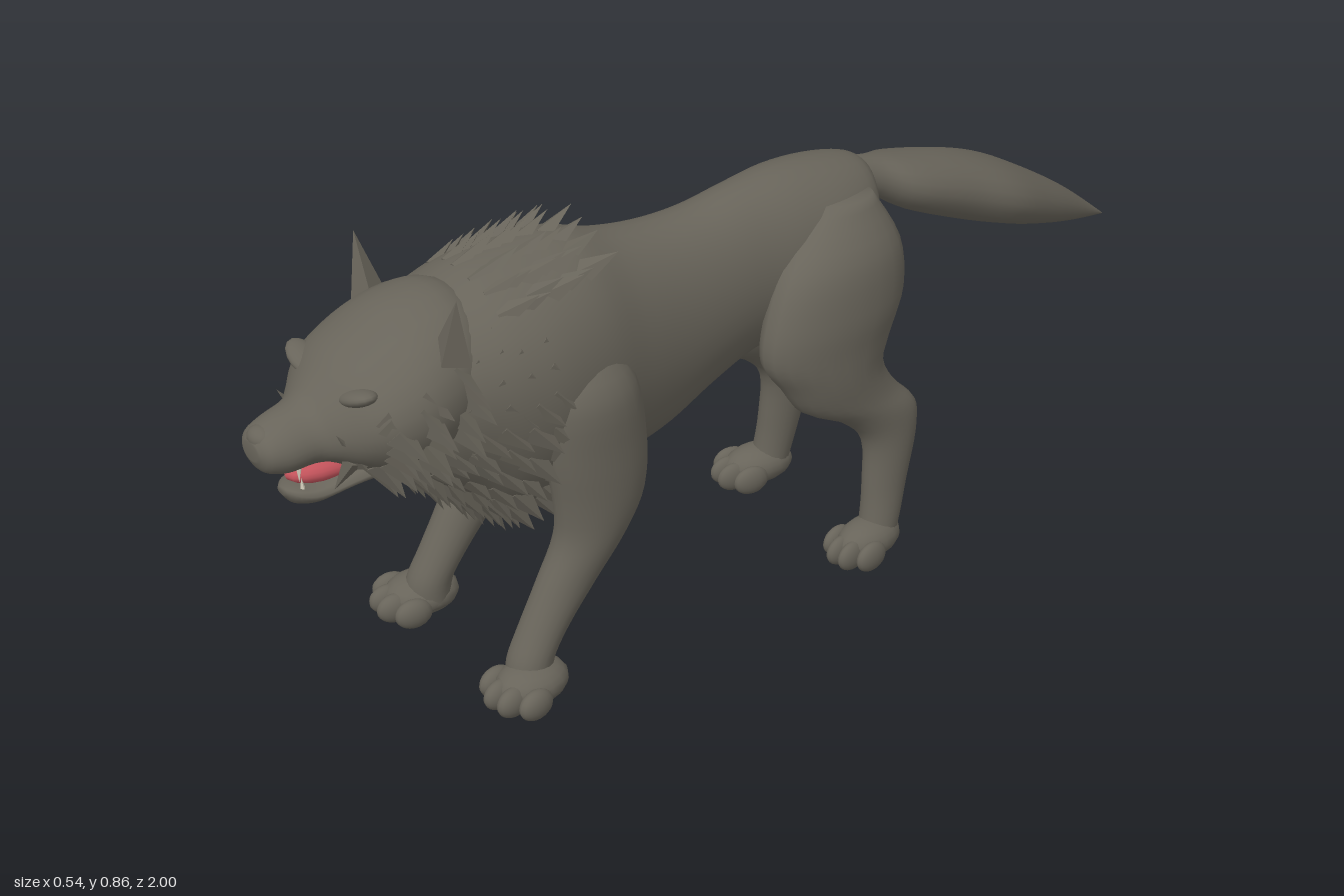
import * as THREE from 'three';
import { mergeGeometries } from 'three/addons/utils/BufferGeometryUtils.js';

const V = (x, y, z) => new THREE.Vector3(x, y, z);
const fur = new THREE.MeshStandardMaterial({ color: 0x68645a });
fur.name = 'grey fur';
const red = new THREE.MeshStandardMaterial({ color: 0xc4545c });
red.name = 'mouth red';
const ivory = new THREE.MeshStandardMaterial({ color: 0xd8d2c0 });
ivory.name = 'tooth ivory';

// Smooth interpolation between cross-section rows
function sample(rows, t) {
  const f = t * (rows.length - 1), i = Math.min(Math.floor(f), rows.length - 2), u = f - i;
  const at = (k) => rows[Math.max(0, Math.min(rows.length - 1, k))];
  return rows[i].map((b, k) => {
    const a = at(i - 1)[k], c = at(i + 1)[k], d = at(i + 2)[k];
    return b + 0.5 * u * (c - a + u * (2 * a - 5 * b + 4 * c - d + u * (3 * (b - c) + d - a)));
  });
}
// Upright section: [z, top, bottom, half width, narrowing towards the belly]
const upright = (r, a) => V(Math.cos(a) * r[3] * (1 + r[4] * Math.sin(a)),
  (r[1] + r[2]) / 2 + Math.sin(a) * (r[1] - r[2]) / 2, r[0]);
// Level section for limbs: [y, x, z, x radius, z radius]
const level = (side) => (r, a) => V(side * (r[1] + Math.cos(a) * r[3]), r[0], r[2] + Math.sin(a) * r[4]);

// Closed skin through the cross-sections
function loft(rows, section, around = 24, steps = 4) {
  const pos = [], idx = [], n = (rows.length - 1) * steps;
  for (let i = 0; i <= n; i++) {
    const r = sample(rows, i / n);
    for (let j = 0; j < around; j++) pos.push(...section(r, (j / around) * Math.PI * 2).toArray());
  }
  for (let i = 0; i < n; i++) for (let j = 0; j < around; j++) {
    const a = i * around + j, b = i * around + (j + 1) % around;
    idx.push(a, b, b + around, a, b + around, a + around);
  }
  for (const end of [0, n]) {
    const mid = V(0, 0, 0), c = pos.length / 3;
    for (let j = 0; j < around; j++) mid.add(V(...pos.slice((end * around + j) * 3, (end * around + j) * 3 + 3)));
    pos.push(...mid.divideScalar(around).toArray());
    for (let j = 0; j < around; j++) {
      const a = end * around + j, b = end * around + (j + 1) % around;
      idx.push(...(end ? [a, b, c] : [b, a, c]));
    }
  }
  // Turn the faces outward if the signed volume is negative
  let vol = 0;
  const p = (k) => V(pos[k * 3], pos[k * 3 + 1], pos[k * 3 + 2]);
  for (let k = 0; k < idx.length; k += 3) vol += p(idx[k]).dot(p(idx[k + 1]).cross(p(idx[k + 2])));
  if (vol < 0) idx.reverse();
  const g = new THREE.BufferGeometry();
  g.setAttribute('position', new THREE.Float32BufferAttribute(pos, 3));
  g.setIndex(idx);
  g.computeVertexNormals();
  return g;
}

// Flattened spike from base to tip, thin along the given normal
function spike(base, tip, width, thick, normal) {
  const y = tip.clone().sub(base), len = y.length();
  y.normalize();
  const x = y.clone().cross(normal).normalize(), z = x.clone().cross(y);
  const g = new THREE.ConeGeometry(1, 1, 4).toNonIndexed();
  g.translate(0, 0.5, 0).scale(width, len, thick);
  g.applyMatrix4(new THREE.Matrix4().makeBasis(x, y, z).setPosition(base));
  g.computeVertexNormals();
  return g;
}
function ball(x, y, z, rx, ry, rz) {
  return new THREE.SphereGeometry(1, 16, 12).scale(rx, ry, rz).translate(x, y, z);
}

const torso = [
  [-0.36, 0.76, 0.70, 0.03, 0], [-0.33, 0.785, 0.60, 0.09, 0], [-0.25, 0.803, 0.50, 0.125, 0],
  [-0.15, 0.81, 0.47, 0.125, 0], [-0.05, 0.80, 0.45, 0.115, 0], [0.05, 0.785, 0.41, 0.12, 0],
  [0.15, 0.785, 0.365, 0.135, 0], [0.25, 0.80, 0.345, 0.16, 0], [0.35, 0.83, 0.335, 0.19, 0.05],
  [0.45, 0.83, 0.32, 0.205, 0.12], [0.53, 0.82, 0.315, 0.2, 0.18], [0.60, 0.80, 0.37, 0.185, 0.18],
  [0.68, 0.78, 0.43, 0.16, 0.1], [0.75, 0.74, 0.50, 0.11, 0]];
const head = [
  [0.54, 0.77, 0.57, 0.09, 0], [0.61, 0.81, 0.53, 0.15, 0], [0.70, 0.80, 0.50, 0.177, 0],
  [0.78, 0.76, 0.51, 0.172, 0], [0.83, 0.73, 0.53, 0.145, 0], [0.87, 0.695, 0.55, 0.1, -0.1],
  [0.90, 0.67, 0.553, 0.073, -0.1], [0.95, 0.655, 0.55, 0.064, -0.1], [0.985, 0.638, 0.56, 0.05, 0],
  [1.0, 0.62, 0.585, 0.025, 0]];
const jaw = [
  [0.74, 0.54, 0.48, 0.07, 0.3], [0.83, 0.525, 0.482, 0.065, 0.3], [0.89, 0.512, 0.465, 0.05, 0.4],
  [0.925, 0.512, 0.472, 0.035, 0.4], [0.945, 0.51, 0.495, 0.012, 0]];
const tail = [
  [-0.31, 0.78, 0.70, 0.03, 0], [-0.38, 0.766, 0.68, 0.042, 0], [-0.45, 0.75, 0.635, 0.08, 0],
  [-0.58, 0.715, 0.575, 0.092, 0], [-0.69, 0.67, 0.532, 0.1, 0], [-0.80, 0.605, 0.495, 0.072, 0],
  [-0.90, 0.535, 0.468, 0.038, 0], [-1.0, 0.451, 0.449, 0.001, 0]];
const foreLeg = [
  [0.68, 0.13, 0.40, 0.03, 0.05], [0.60, 0.155, 0.40, 0.07, 0.1], [0.48, 0.168, 0.39, 0.064, 0.105],
  [0.38, 0.17, 0.385, 0.06, 0.095], [0.30, 0.168, 0.405, 0.056, 0.075], [0.22, 0.166, 0.455, 0.048, 0.063],
  [0.14, 0.167, 0.51, 0.044, 0.05], [0.08, 0.17, 0.545, 0.044, 0.045], [0.03, 0.172, 0.55, 0.044, 0.045]];
const hindLeg = [
  [0.75, 0.085, -0.25, 0.035, 0.06], [0.66, 0.115, -0.215, 0.068, 0.135], [0.56, 0.13, -0.19, 0.073, 0.16],
  [0.48, 0.134, -0.17, 0.07, 0.148], [0.42, 0.14, -0.178, 0.064, 0.118], [0.36, 0.146, -0.215, 0.054, 0.112],
  [0.31, 0.155, -0.282, 0.045, 0.088], [0.25, 0.16, -0.308, 0.04, 0.062], [0.15, 0.165, -0.296, 0.037, 0.048],
  [0.08, 0.17, -0.283, 0.037, 0.042], [0.03, 0.172, -0.27, 0.037, 0.04]];

// Paw with a heel and four toes
function paw(side, x, z, s) {
  const parts = [ball(0, 0.042, 0, 0.06 * s, 0.04, 0.075)];
  for (let i = 0; i < 4; i++) {
    const k = i - 1.5, inner = Math.abs(k) < 1;
    parts.push(ball(k * 0.036 * s, 0.033, inner ? 0.062 : 0.04, 0.021 * s, 0.03, 0.038));
  }
  return mergeGeometries(parts).rotateY(side * 0.15).translate(side * x, 0, z);
}

export function createModel() {
  const model = new THREE.Group();
  const add = (name, geo, mat = fur) => {
    const m = new THREE.Mesh(geo, mat);
    m.name = name;
    model.add(m);
  };
  let seed = 7;
  const rnd = () => (seed = (seed * 16807) % 2147483647) / 2147483647;

  add('torso', loft(torso, upright, 32));
  add('head', loft(head, upright, 28));
  add('lowerJaw', loft(jaw, upright, 16));
  add('tail', loft(tail, upright, 20));
  add('nose', ball(0, 0.622, 0.975, 0.032, 0.022, 0.025));
  add('mouth', ball(0, 0.528, 0.85, 0.042, 0.027, 0.085), red);

  const fangs = [], brows = [], ears = [];
  for (const s of [1, -1]) {
    const name = s > 0 ? 'left' : 'right';
    add(name + 'ForeLeg', loft(foreLeg, level(s), 20));
    add(name + 'HindLeg', loft(hindLeg, level(s), 20));
    add(name + 'ForePaw', paw(s, 0.187, 0.555, 1));
    add(name + 'HindPaw', paw(s, 0.177, -0.25, 0.82));
    ears.push(spike(V(s * 0.135, 0.735, 0.665), V(s * 0.166, 0.862, 0.672), 0.042, 0.034, V(s * 0.4, 0, 1)));
    brows.push(ball(0, 0, 0, 0.052, 0.016, 0.03).rotateZ(s * 0.35).translate(s * 0.085, 0.69, 0.83));
    fangs.push(spike(V(s * 0.034, 0.56, 0.925), V(s * 0.032, 0.527, 0.925), 0.006, 0.006, V(0, 0, 1)));
    fangs.push(spike(V(s * 0.025, 0.508, 0.915), V(s * 0.026, 0.532, 0.918), 0.005, 0.005, V(0, 0, 1)));
  }
  add('ears', mergeGeometries(ears));
  add('brows', mergeGeometries(brows));
  add('fangs', mergeGeometries(fangs), ivory);

  // A lock of fur lying on a body section, swept along a direction
  const lock = (rows, t, a, sweep, len, lift) => {
    const r = sample(rows, t), p = upright(r, a);
    const n = V(Math.cos(a), Math.sin(a) * 0.8, 0).normalize();
    const dir = sweep.clone().addScaledVector(n, lift).normalize();
    return spike(p.clone().addScaledVector(n, -0.012), p.clone().addScaledVector(dir, len),
      len * 0.36, 0.014, n);
  };
  const mane = [], crest = [], cheeks = [], chest = [];
  for (const s of [1, -1]) {
    const angle = (a) => (s > 0 ? a : Math.PI - a);
    // Neck ruff
    for (let i = 0; i < 5; i++) for (let j = 0; j < 9; j++) {
      mane.push(lock(torso, 0.72 + i * 0.05 + rnd() * 0.02, angle(-1.0 + j * 0.24 + rnd() * 0.1),
        V(0, -0.7, -0.6), 0.06 + rnd() * 0.03, 0.12));
    }
    // Cheek fur
    for (let i = 0; i < 3; i++) for (let j = 0; j < 8; j++) {
      cheeks.push(lock(head, 0.16 + i * 0.1 + rnd() * 0.03, angle(-1.0 + j * 0.2 + rnd() * 0.08),
        V(0, -0.7, -0.45), 0.06 + rnd() * 0.02, 0.3));
    }
    // Upright locks beside the muzzle
    cheeks.push(spike(V(s * 0.095, 0.56, 0.83), V(s * 0.1, 0.64, 0.885), 0.018, 0.012, V(s, 0, 0.5)));
    cheeks.push(spike(V(s * 0.09, 0.57, 0.85), V(s * 0.065, 0.51, 0.875), 0.018, 0.01, V(s, 0, 0.5)));
    // Chest fur
    for (let i = 0; i < 5; i++) for (let j = 0; j < 4; j++) {
      chest.push(lock(torso, 0.76 + i * 0.045, angle(-1.55 + j * 0.2 + rnd() * 0.08),
        V(0, -0.8, -0.5), 0.05 + rnd() * 0.03, 0.12));
    }
    // Crest over the shoulders
    for (let i = 0; i < 6; i++) for (let j = 0; j < 3; j++) {
      crest.push(lock(torso, 0.63 + i * 0.03 + rnd() * 0.015, angle(1.5 - j * 0.22 - rnd() * 0.08),
        V(0, 0, -1), 0.06 + rnd() * 0.02, 0.4));
    }
  }
  add('neckRuff', mergeGeometries(mane));
  add('cheekFur', mergeGeometries(cheeks));
  add('chestFur', mergeGeometries(chest));
  add('backCrest', mergeGeometries(crest));
  return model;
}
